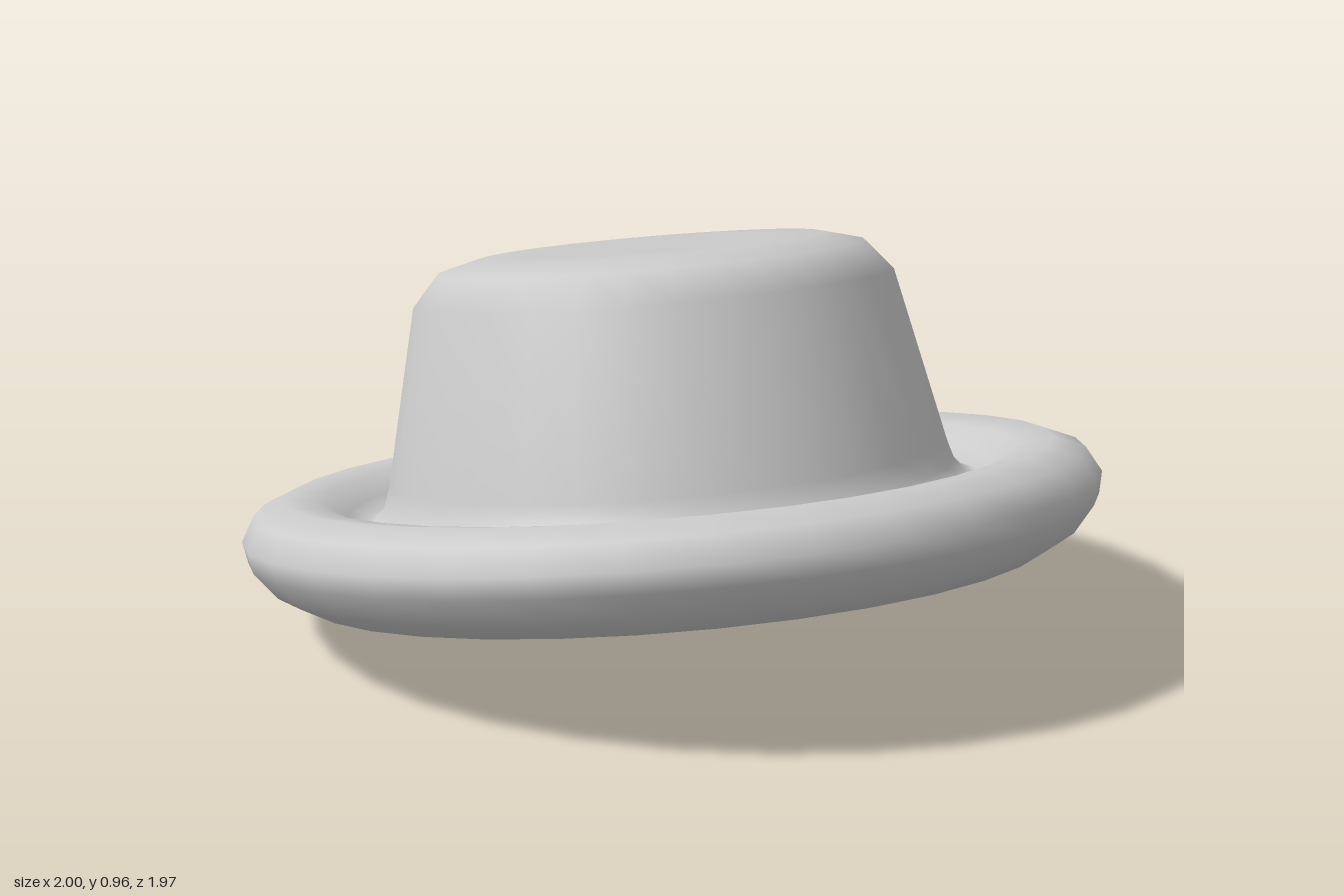
import * as THREE from 'three';

const SEGMENTS = 32;
const material = new THREE.MeshStandardMaterial({ color: 0xcccccc, side: THREE.DoubleSide });

// Revolve a list of [radius, height] points around the hat's axis
function revolve(name, profile) {
  const points = profile.map(([r, h]) => new THREE.Vector2(r, h));
  const mesh = new THREE.Mesh(new THREE.LatheGeometry(points, SEGMENTS), material);
  mesh.name = name;
  return mesh;
}

export function createModel() {
  const hat = new THREE.Group();
  hat.name = 'hat';

  // Rolled brim, dipping into a valley and flowing up into the tapered crown
  hat.add(revolve('brimAndCrown', [
    [0.705, 0], [0.79, 0], [0.863, 0], [0.94, 0.043], [0.99, 0.105], [1, 0.155],
    [0.967, 0.213], [0.895, 0.243], [0.81, 0.23], [0.755, 0.19], [0.72, 0.165],
    [0.69, 0.175], [0.665, 0.205], [0.651, 0.25],
    [0.558, 0.657], [0.497, 0.728], [0.402, 0.753], [0.3, 0.754], [0, 0.754],
  ]));

  // Inner wall of the head opening
  hat.add(revolve('headOpening', [[0.72, 0.165], [0.705, 0]]));

  // The hat is tipped back, front edge raised
  hat.rotation.x = -THREE.MathUtils.degToRad(10);
  hat.position.set(0, 0.15, 0.03);

  const model = new THREE.Group();
  model.add(hat);
  return model;
}
